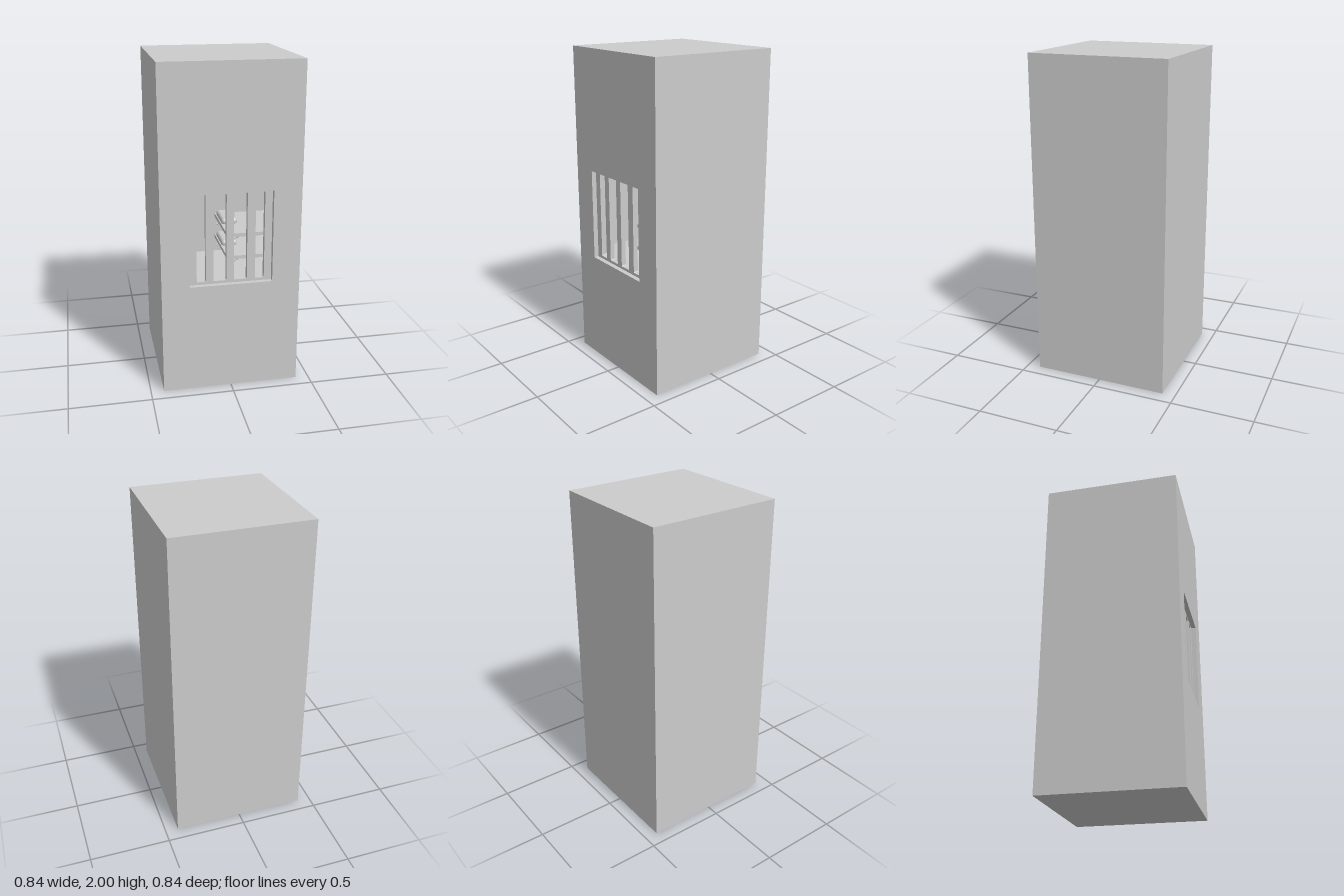
import * as THREE from 'three';
import { RoundedBoxGeometry } from 'three/addons/geometries/RoundedBoxGeometry.js';

const mat = (side = THREE.FrontSide) => new THREE.MeshStandardMaterial({ color: 0xcccccc, side });
const SIZE = 0.84, HEIGHT = 2;
const WIN = { x: 0.25, y0: 0.68, y1: 1.25 };
const ROOM = { x: 0.38, y0: 0.68, y1: 1.27, back: -0.14, front: 0.36 };

function add(parent, name, geo, x = 0, y = 0, z = 0, side) {
  const mesh = new THREE.Mesh(geo, mat(side));
  mesh.name = name;
  mesh.position.set(x, y, z);
  parent.add(mesh);
  return mesh;
}

// Box without some of its sides (0..5 = +x -x +y -y +z -z)
function openBox(w, h, d, drop) {
  const geo = new THREE.BoxGeometry(w, h, d);
  const index = Array.from(geo.index.array);
  geo.setIndex(index.filter((_, i) => !drop.includes(Math.floor(i / 6))));
  geo.clearGroups();
  return geo;
}

function rect(target, x0, y0, x1, y1) {
  target.moveTo(x0, y0).lineTo(x1, y0).lineTo(x1, y1).lineTo(x0, y1).closePath();
  return target;
}

function slot(x0, x1, y0, y1, r) {
  const p = new THREE.Path();
  p.moveTo(x0 + r, y0).lineTo(x1 - r, y0).quadraticCurveTo(x1, y0, x1, y0 + r);
  p.lineTo(x1, y1 - r).quadraticCurveTo(x1, y1, x1 - r, y1);
  p.lineTo(x0 + r, y1).quadraticCurveTo(x0, y1, x0, y1 - r);
  p.lineTo(x0, y0 + r).quadraticCurveTo(x0, y0, x0 + r, y0);
  return p;
}

function createBunk(y) {
  const bunk = new THREE.Group();
  bunk.name = 'bunk';
  const x0 = 0.005, x1 = ROOM.x, z0 = ROOM.back, z1 = 0.26;
  add(bunk, 'bunkBoard', new THREE.BoxGeometry(x1 - x0, 0.022, z1 - z0), (x0 + x1) / 2, y, (z0 + z1) / 2);
  // Pillow at the far end
  add(bunk, 'pillow', new RoundedBoxGeometry(0.1, 0.044, 0.2, 4, 0.02), 0.06, y + 0.022, -0.02);
  // Curved brace under each end of the board
  const brace = new THREE.CatmullRomCurve3([[0.1, -0.01], [0.06, -0.03], [0.01, -0.055]]
    .map(([x, dy]) => new THREE.Vector3(x, y + dy, 0)));
  for (const z of [z0 + 0.03, z1 - 0.03])
    add(bunk, 'brace', new THREE.TubeGeometry(brace, 8, 0.006, 8), 0, 0, z);
  return bunk;
}

export function createModel() {
  const model = new THREE.Group();
  model.name = 'cellBlock';

  // Outer block; its front is a sheet with the window cut out
  add(model, 'outerWalls', openBox(SIZE, HEIGHT, SIZE, [4]), 0, HEIGHT / 2, 0);
  const front = rect(new THREE.Shape(), -SIZE / 2, 0, SIZE / 2, HEIGHT);
  front.holes.push(rect(new THREE.Path(), -WIN.x, WIN.y0, WIN.x, WIN.y1));
  add(model, 'frontWall', new THREE.ShapeGeometry(front), 0, 0, SIZE / 2);

  // Window reveal
  const winH = WIN.y1 - WIN.y0, depth = SIZE / 2 - ROOM.front;
  add(model, 'windowReveal', openBox(WIN.x * 2, winH, depth, [4, 5]),
    0, (WIN.y0 + WIN.y1) / 2, ROOM.front + depth / 2, THREE.BackSide);

  // Barred plate set back in the opening
  const plate = rect(new THREE.Shape(), -WIN.x, WIN.y0, WIN.x, WIN.y1);
  for (const [x0, x1] of [[-0.205, -0.15], [-0.105, -0.025], [0.02, 0.1], [0.15, 0.205]])
    plate.holes.push(slot(x0, x1, 0.697, 1.238, 0.008));
  const bars = new THREE.ExtrudeGeometry(plate, { depth: 0.03, bevelEnabled: false, curveSegments: 4 });
  add(model, 'windowBars', bars, 0, 0, 0.36);

  // Room behind the window
  const roomH = ROOM.y1 - ROOM.y0, roomD = ROOM.front - ROOM.back;
  add(model, 'roomWalls', openBox(ROOM.x * 2, roomH, roomD, [4]),
    0, (ROOM.y0 + ROOM.y1) / 2, ROOM.back + roomD / 2, THREE.BackSide);
  const inner = rect(new THREE.Shape(), -ROOM.x, ROOM.y0, ROOM.x, ROOM.y1);
  inner.holes.push(rect(new THREE.Path(), -WIN.x, WIN.y0 + 0.001, WIN.x, WIN.y1));
  add(model, 'roomFrontWall', new THREE.ShapeGeometry(inner), 0, 0, ROOM.front, THREE.BackSide);

  // Door with handle on the rear wall
  add(model, 'door', new THREE.BoxGeometry(0.2, 1.05 - ROOM.y0, 0.01), -0.23, (1.05 + ROOM.y0) / 2, ROOM.back + 0.005);
  add(model, 'doorHandle', new THREE.BoxGeometry(0.012, 0.1, 0.015), -0.206, 0.87, ROOM.back + 0.017);

  // Two bunks along the side wall
  for (const y of [0.93, 0.785]) model.add(createBunk(y));

  return model;
}
